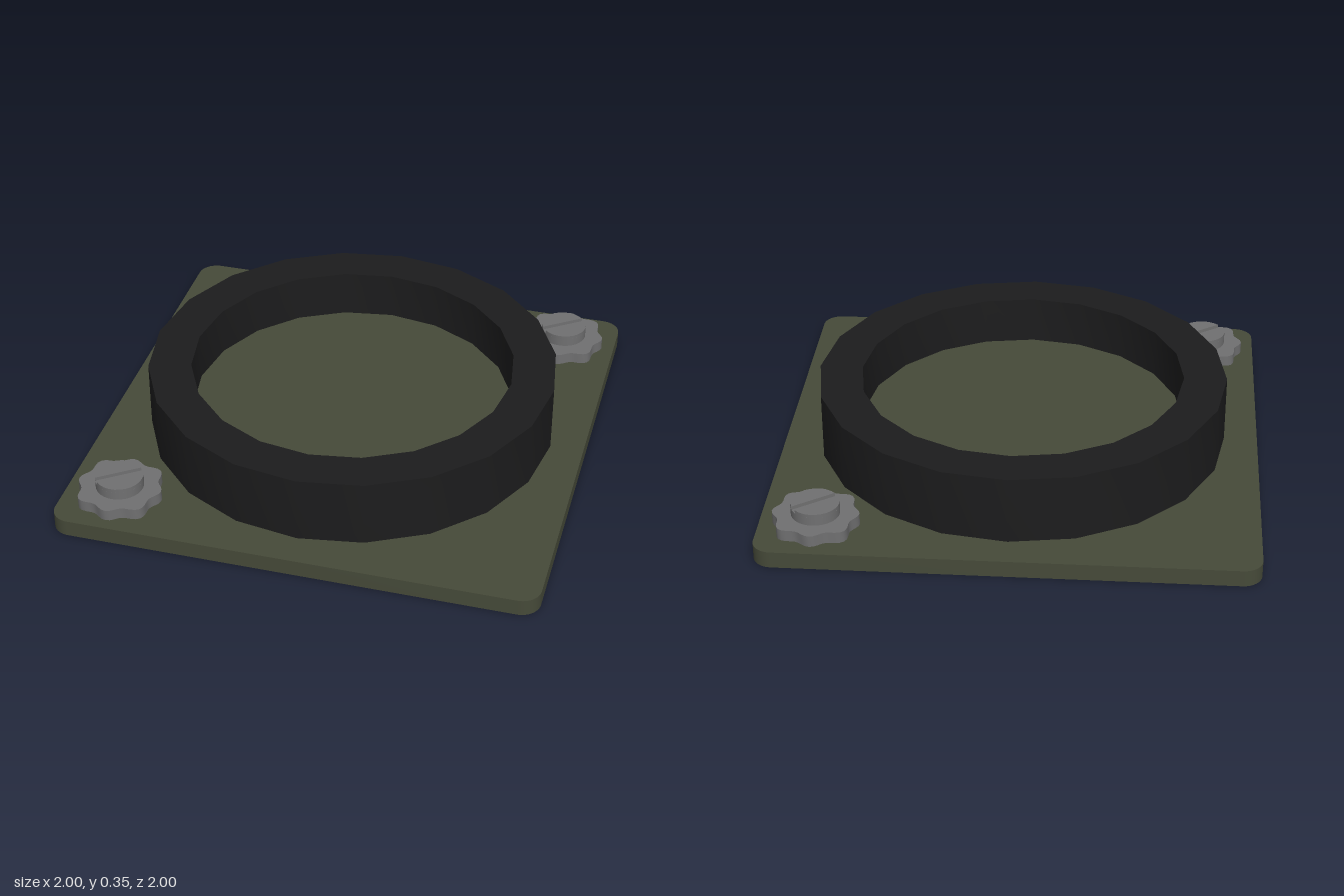
import * as THREE from 'three';
import { toCreasedNormals } from 'three/addons/utils/BufferGeometryUtils.js';

const olive = new THREE.MeshStandardMaterial({ name: 'olive plate', color: 0x464a39, side: THREE.DoubleSide });
const black = new THREE.MeshStandardMaterial({ name: 'black ring', color: 0x1c1c1d });
const metal = new THREE.MeshStandardMaterial({ name: 'grey metal', color: 0x707071 });

// Extrude a flat outline upwards from y0 to y1, optionally without its bottom
function slab(name, shape, y0, y1, material, openBottom = false) {
  let geo = new THREE.ExtrudeGeometry(shape, { depth: y1 - y0, bevelEnabled: false, curveSegments: 6 });
  geo.rotateX(-Math.PI / 2).translate(0, y0, 0);
  if (openBottom) {
    // The bottom lid is the first half of the cap triangles
    const start = (geo.groups[0].count / 2) * 3;
    const corners = geo.attributes.position.array.slice(start);
    geo = new THREE.BufferGeometry();
    geo.setAttribute('position', new THREE.BufferAttribute(corners, 3));
  }
  const mesh = new THREE.Mesh(toCreasedNormals(geo, 0.6), material);
  mesh.name = name;
  return mesh;
}

function roundedSquare(h, r) {
  const s = new THREE.Shape();
  s.absarc(h - r, h - r, r, 0, Math.PI / 2);
  s.absarc(r - h, h - r, r, Math.PI / 2, Math.PI);
  s.absarc(r - h, r - h, r, Math.PI, Math.PI * 1.5);
  s.absarc(h - r, r - h, r, Math.PI * 1.5, Math.PI * 2);
  return s;
}

// Eight-lobed thumb nut with a slotted round head
function createFastener() {
  const group = new THREE.Group();
  const lobes = [];
  for (let i = 0; i < 64; i++) {
    const a = (i / 64) * Math.PI * 2;
    const r = 0.168 + 0.012 * Math.cos(8 * a) - 0.004 * Math.cos(4 * a);
    lobes.push(new THREE.Vector2(r * Math.cos(a), r * Math.sin(a)));
  }
  group.add(slab('lobedNut', new THREE.Shape(lobes), 0.072, 0.12, metal));

  const core = new THREE.Mesh(new THREE.CylinderGeometry(0.098, 0.098, 0.04, 32), metal);
  core.name = 'screwCore';
  core.position.y = 0.135;
  group.add(core);

  // Two half heads leave the diagonal slot between them
  const half = Math.asin(0.016 / 0.098);
  for (const turn of [0, Math.PI]) {
    const s = new THREE.Shape();
    s.absarc(0, 0, 0.098, half, Math.PI - half);
    const cap = slab('screwHeadHalf', s, 0.155, 0.17, metal);
    cap.rotation.y = turn + 0.62;
    group.add(cap);
  }
  return group;
}

export function createModel() {
  const model = new THREE.Group();
  model.name = 'ringMount';

  // Base is a shallow tray, open underneath
  model.add(slab('basePlate', roundedSquare(1, 0.08), 0, 0.07, olive, true));

  // Twenty-sided ring wall
  const profile = [[0.86, 0.07], [0.86, 0.355], [0.68, 0.355], [0.68, 0.15]]
    .map(([r, y]) => new THREE.Vector2(r, y));
  const ring = new THREE.Mesh(toCreasedNormals(new THREE.LatheGeometry(profile, 20), 0.6), black);
  ring.name = 'ring';
  model.add(ring);

  // Raised floor inside the ring
  const floor = new THREE.Mesh(new THREE.CircleGeometry(0.68, 20).rotateX(-Math.PI / 2), olive);
  floor.name = 'ringFloor';
  floor.position.y = 0.15;
  model.add(floor);

  // Fasteners on opposite corners
  for (const side of [1, -1]) {
    const fastener = createFastener();
    fastener.name = side > 0 ? 'leftRearFastener' : 'rightFrontFastener';
    fastener.position.set(side * 0.771, 0, side * -0.777);
    model.add(fastener);
  }
  return model;
}
